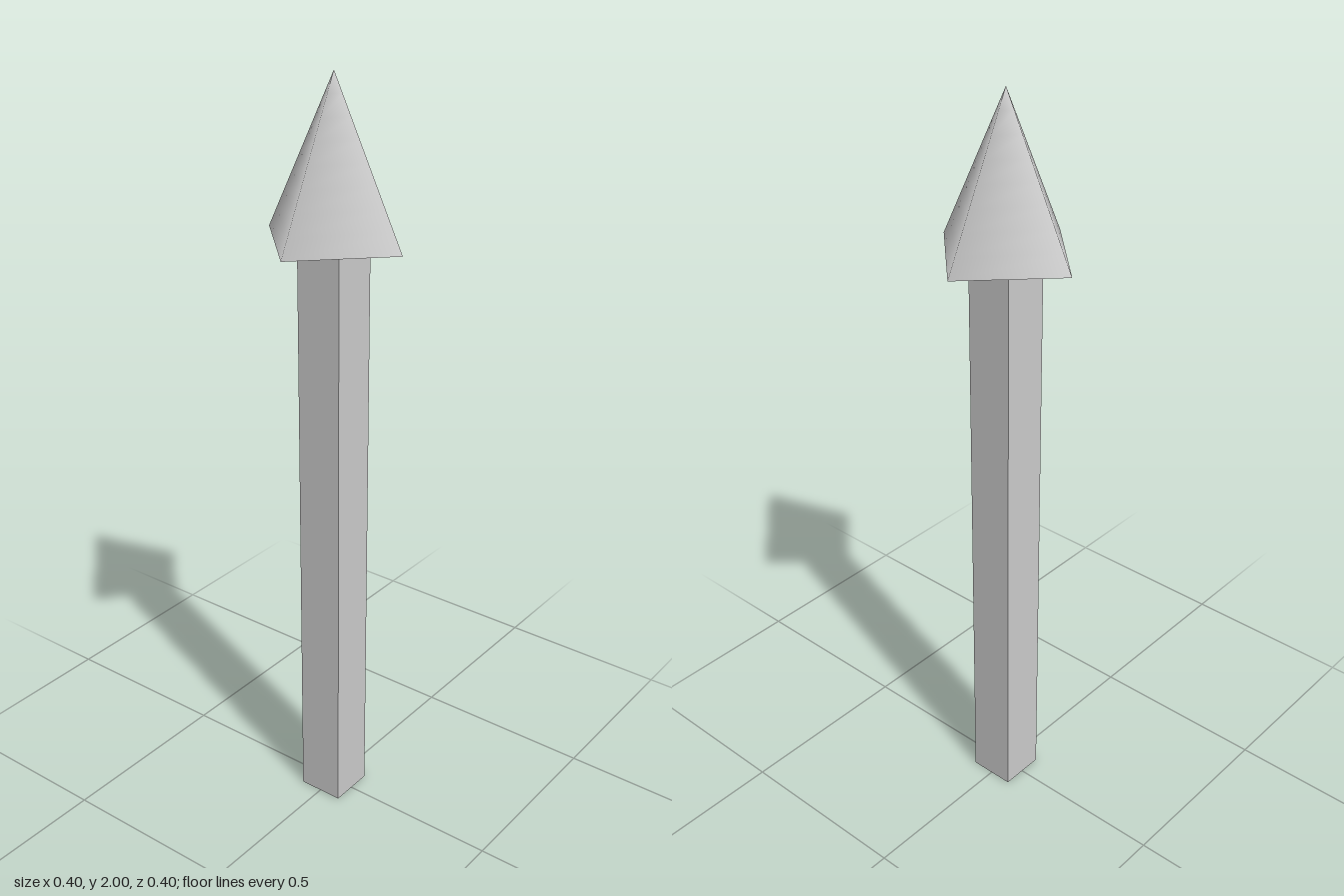
import * as THREE from 'three';

export function createModel() {
  const group = new THREE.Group();
  const material = new THREE.MeshStandardMaterial({ color: 0xcccccc });

  const addPart = (name, geometry, y) => {
    const mesh = new THREE.Mesh(geometry, material);
    mesh.name = name;
    mesh.position.y = y;
    group.add(mesh);
  };

  // Square shaft standing on the ground
  addPart('shaft', new THREE.BoxGeometry(0.125, 1.6, 0.125), 0.8);

  // Four-sided head with smooth normals, corners on the x and z axes
  addPart('arrowHead', new THREE.ConeGeometry(0.2, 0.4, 4, 8), 1.8);

  return group;
}
